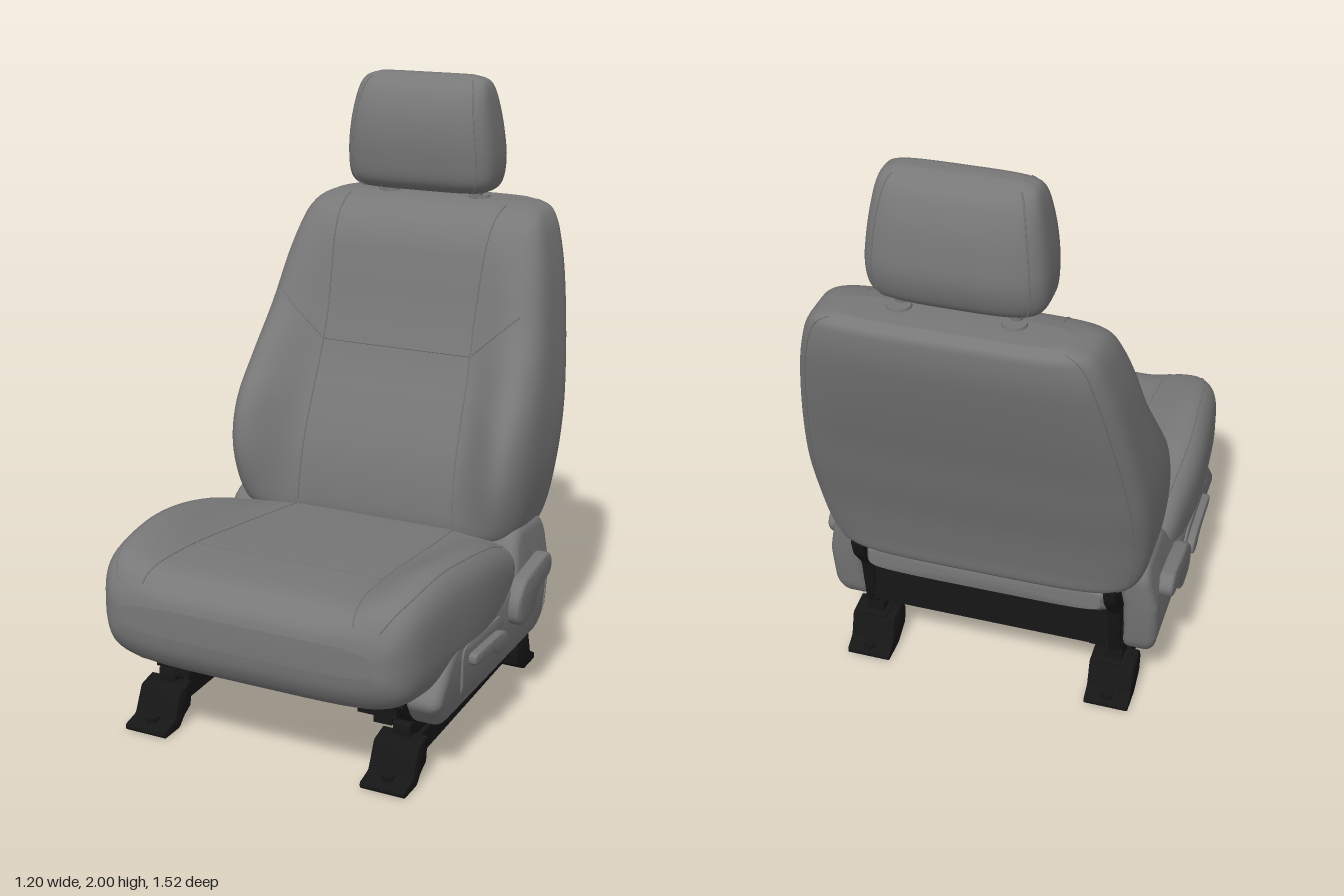
import * as THREE from 'three';
import { toCreasedNormals } from 'three/addons/utils/BufferGeometryUtils.js';

const mat = (name, color) => {
  const m = new THREE.MeshStandardMaterial({ color });
  m.name = name;
  return m;
};

// Body section with rows [position, half width, centre, bolster, rear]:
// rounded rectangles whose front face rises from the centre to the bolsters.
function makeBody(rows, n, place) {
  const last = rows.length - 1;
  const row = v => {
    const i = Math.min(Math.floor(v), last - 1), t = v - i;
    const r = k => rows[Math.max(0, Math.min(last, k))];
    return rows[0].map((_, k) => {
      const [a, b, c, d] = [r(i - 1)[k], r(i)[k], r(i + 1)[k], r(i + 2)[k]];
      return b + 0.5 * t * (c - a + t * (2 * a - 5 * b + 4 * c - d + t * (3 * (b - c) + d - a)));
    });
  };
  const at = (x, h, r) => {
    const [s, w, c, b, rear] = r;
    const front = c + (b - c) * THREE.MathUtils.smoothstep(Math.abs(x) / w, 0.5, 0.95);
    const mid = (c + rear) / 2;
    return place(x, s, h > 0 ? mid + h * (front - mid) : mid + h * (mid - rear));
  };
  const pow = q => Math.sign(q) * Math.pow(Math.abs(q), 2 / n);
  const around = (a, v) => {
    const r = row(v);
    return at(r[1] * pow(Math.cos(a)), pow(Math.sin(a)), r);
  };
  const onFront = (x, v) => {
    const r = row(v);
    return at(x, Math.pow(Math.max(0, 1 - Math.pow(Math.abs(x) / r[1], n)), 1 / n), r);
  };
  const find = s => {
    let lo = 0, hi = last;
    const up = rows[last][0] > rows[0][0];
    for (let k = 0; k < 30; k++) {
      const m = (lo + hi) / 2;
      if ((row(m)[0] < s) === up) lo = m; else hi = m;
    }
    return lo;
  };
  const geometry = () => {
    const U = 144, V = last * 5, pos = [], idx = [];
    for (let j = 0; j <= V; j++)
      for (let i = 0; i < U; i++) pos.push(...around(i / U * Math.PI * 2, j / V * last).toArray());
    for (const v of [0, last]) pos.push(...at(0, 0, row(v)).toArray());
    const end = U * (V + 1);
    for (let i = 0; i < U; i++) {
      const k = (i + 1) % U;
      for (let j = 0; j < V; j++) {
        const a = j * U + i, b = j * U + k;
        idx.push(a, a + U, b, b, a + U, b + U);
      }
      idx.push(end, i, k, end + 1, V * U + k, V * U + i);
    }
    // Turn the faces outward if the sweep runs the other way
    const p = i => new THREE.Vector3().fromArray(pos, i * 3);
    let volume = 0;
    for (let i = 0; i < idx.length; i += 3) volume += p(idx[i]).dot(p(idx[i + 1]).cross(p(idx[i + 2])));
    if (volume < 0) idx.reverse();
    const g = new THREE.BufferGeometry();
    g.setAttribute('position', new THREE.Float32BufferAttribute(pos, 3));
    g.setIndex(idx);
    g.computeVertexNormals();
    return g;
  };
  return { around, onFront, find, geometry, last };
}

// Polygon in (z, y) with rounded corners
function rounded(pts, radius) {
  const s = new THREE.Shape(), P = pts.map(p => new THREE.Vector2(...p));
  P.forEach((p, i) => {
    const toward = q => p.clone().add(q.clone().sub(p).setLength(Math.min(radius, q.distanceTo(p) * 0.45)));
    const a = toward(P[(i + P.length - 1) % P.length]), b = toward(P[(i + 1) % P.length]);
    if (i) s.lineTo(a.x, a.y); else s.moveTo(a.x, a.y);
    s.quadraticCurveTo(p.x, p.y, b.x, b.y);
  });
  s.closePath();
  return s;
}

export function createModel() {
  const model = new THREE.Group();
  model.name = 'carSeat';
  const fabric = mat('greyFabric', 0x787878), plastic = mat('greyPlastic', 0x777777);
  const metal = mat('blackMetal', 0x161616);

  const add = (name, geo, material) => {
    const m = new THREE.Mesh(geo, material);
    m.name = name;
    model.add(m);
  };
  const seam = (name, f, count = 40) => {
    const pts = Array.from({ length: count + 1 }, (_, i) => f(i / count));
    add(name, new THREE.TubeGeometry(new THREE.CatmullRomCurve3(pts), count * 2, 0.0025, 5), fabric);
  };
  // Extrude a (z, y) shape from x0 to x1 on both sides; lean draws the upper and lower ends inward
  const pair = (name, shape, x0, x1, bevel, material, lean = 0) => {
    for (const side of [-1, 1]) {
      const g = new THREE.ExtrudeGeometry(shape, {
        depth: x1 - x0 - 2 * bevel, bevelEnabled: bevel > 0, bevelSize: bevel,
        bevelThickness: bevel, bevelOffset: -bevel, bevelSegments: 4, curveSegments: 12,
      });
      g.rotateY(-Math.PI / 2);
      g.translate(side > 0 ? x1 - bevel : -x0 - bevel, 0, 0);
      const p = g.attributes.position;
      for (let i = 0; i < p.count; i++) {
        const y = p.getY(i);
        p.setX(i, p.getX(i) * (1 - lean * Math.max(0, y - 0.4, 0.27 - y)));
      }
      add((side > 0 ? 'left' : 'right') + name, toCreasedNormals(g, 0.6), material);
    }
  };
  const box = (name, x, y, z, w, h, d, material = metal) =>
    add(name, new THREE.BoxGeometry(w, h, d).translate(x, y, z), material);
  const lerp = THREE.MathUtils.lerp;

  // Backrest
  const upright = (x, s, t) => new THREE.Vector3(x, s, t);
  const back = makeBody([
    [0.50, 0.42, -0.20, -0.20, -0.43], [0.52, 0.49, -0.155, -0.09, -0.475],
    [0.60, 0.53, -0.15, -0.04, -0.495], [0.75, 0.55, -0.175, 0.0, -0.535],
    [0.90, 0.55, -0.23, -0.03, -0.585], [1.05, 0.535, -0.295, -0.15, -0.63],
    [1.20, 0.512, -0.345, -0.27, -0.68], [1.35, 0.485, -0.385, -0.345, -0.725],
    [1.45, 0.46, -0.415, -0.40, -0.75], [1.52, 0.435, -0.46, -0.45, -0.757],
    [1.56, 0.40, -0.52, -0.52, -0.752], [1.58, 0.33, -0.60, -0.60, -0.72],
  ], 4.6, upright);
  add('backrest', back.geometry(), fabric);
  const b0 = back.find(0.56), b1 = back.find(1.57), bMid = back.find(1.1);
  for (const s of [-1, 1]) {
    seam('backPanelSeam', t => back.onFront(s * (0.272 + 0.02 * Math.abs(2 * t - 1)), lerp(b0, b1, t)));
    seam('backSideSeam', t => back.around(Math.PI / 2 - s * (Math.PI / 2 + 0.6), lerp(b0, b1, t)));
    seam('bolsterSeam', t => back.onFront(s * lerp(0.275, 0.44, t), back.find(lerp(1.1, 1.25, t))), 16);
  }
  seam('backCrossSeam', t => back.onFront(lerp(-0.272, 0.272, t), bMid), 16);

  // Seat cushion, swept from front to rear
  const cushion = makeBody([
    [0.76, 0.42, 0.50, 0.50, 0.41], [0.745, 0.475, 0.54, 0.56, 0.345],
    [0.70, 0.52, 0.58, 0.635, 0.285], [0.62, 0.548, 0.60, 0.675, 0.265],
    [0.45, 0.565, 0.60, 0.70, 0.26], [0.25, 0.575, 0.585, 0.68, 0.26],
    [0.05, 0.562, 0.565, 0.63, 0.26], [-0.10, 0.54, 0.55, 0.565, 0.26],
    [-0.25, 0.48, 0.53, 0.53, 0.29], [-0.37, 0.43, 0.51, 0.51, 0.36],
    [-0.44, 0.39, 0.50, 0.50, 0.42],
  ], 5, (x, s, t) => new THREE.Vector3(x * (1 - 0.4 * Math.max(0, 0.42 - t)), t, s));
  add('cushion', cushion.geometry(), fabric);
  const c0 = cushion.find(0.735), c1 = cushion.find(-0.15), cMid = cushion.find(0.455);
  for (const s of [-1, 1]) {
    seam('cushionPanelSeam', t => cushion.onFront(s * lerp(0.36, 0.295, t), lerp(c0, c1, t)));
    seam('cushionSideSeam', t => cushion.around(Math.PI / 2 - s * 0.9, lerp(c0, c1, t)));
  }
  seam('cushionCrossSeam', t => cushion.onFront(lerp(-0.33, 0.33, t), cMid), 16);

  // Headrest with posts and sleeves
  const head = makeBody([
    [1.605, 0.18, -0.53, -0.53, -0.62], [1.615, 0.235, -0.475, -0.475, -0.655],
    [1.65, 0.262, -0.44, -0.44, -0.682], [1.72, 0.268, -0.425, -0.425, -0.70],
    [1.80, 0.262, -0.42, -0.42, -0.695], [1.88, 0.25, -0.43, -0.43, -0.68],
    [1.95, 0.235, -0.46, -0.46, -0.65], [1.985, 0.215, -0.50, -0.50, -0.615],
    [2.0, 0.17, -0.535, -0.535, -0.575],
  ], 3.8, upright);
  add('headrest', head.geometry(), fabric);
  for (const s of [-1, 1]) {
    for (const a of [0.75, -0.75])
      seam('headrestSeam', t => head.around(Math.PI / 2 - s * (Math.PI / 2 - a), lerp(1, head.last - 1, t)));
    add('headrestPost', new THREE.CylinderGeometry(0.018, 0.018, 0.17, 20).translate(s * 0.17, 1.57, -0.605), plastic);
    add('postSleeve', new THREE.CylinderGeometry(0.036, 0.042, 0.03, 24).translate(s * 0.17, 1.573, -0.625), plastic);
  }

  // Side shields, raised pads and levers
  pair('Shield', rounded([
    [0.59, 0.275], [0.46, 0.415], [0.38, 0.43], [0.05, 0.435], [-0.07, 0.46], [-0.11, 0.545], [-0.16, 0.59],
    [-0.35, 0.58], [-0.385, 0.53], [-0.37, 0.38], [-0.345, 0.22], [-0.30, 0.17], [0.50, 0.17],
  ], 0.04), 0.45, 0.563, 0.03, plastic, 0.35);
  pair('LeverPad', rounded([[0.40, 0.40], [0.07, 0.385], [0.04, 0.22], [0.40, 0.22]], 0.05), 0.555, 0.568, 0.004, plastic, 0.35);
  pair('HeightLever', rounded([[0.355, 0.36], [0.22, 0.355], [0.13, 0.35], [0.08, 0.33], [0.085, 0.285],
    [0.13, 0.272], [0.21, 0.31], [0.35, 0.318]], 0.025), 0.56, 0.592, 0.01, plastic);
  pair('ReclineLever', rounded([[0.01, 0.40], [-0.05, 0.455], [-0.27, 0.482], [-0.30, 0.44], [-0.28, 0.395],
    [-0.17, 0.375], [-0.13, 0.305], [-0.03, 0.30], [0.01, 0.335]], 0.03), 0.545, 0.598, 0.014, plastic);

  // Floor rails, feet and recliner brackets
  pair('LowerRail', rounded([[0.53, 0.05], [0.53, 0.12], [-0.36, 0.14], [-0.36, 0.075]], 0.005), 0.375, 0.465, 0, metal);
  pair('UpperRail', rounded([[0.52, 0.11], [0.52, 0.17], [-0.34, 0.18], [-0.34, 0.13]], 0.005), 0.39, 0.45, 0, metal);
  pair('FrontFoot', rounded([[0.66, 0], [0.66, 0.022], [0.60, 0.035], [0.56, 0.12],
    [0.49, 0.135], [0.50, 0.05], [0.54, 0.03], [0.57, 0]], 0.01), 0.345, 0.495, 0.004, metal);
  pair('RearFoot', rounded([[-0.25, 0.10], [-0.27, 0.14], [-0.36, 0.13], [-0.385, 0.045],
    [-0.43, 0.02], [-0.43, 0], [-0.33, 0], [-0.26, 0.04]], 0.01), 0.345, 0.495, 0.004, metal);
  pair('SeatFrame', rounded([[0.58, 0.25], [0.56, 0.28], [-0.34, 0.30], [-0.33, 0.17], [0.50, 0.17]], 0.01), 0.38, 0.45, 0, metal);
  pair('ReclinerBracket', rounded([[-0.27, 0.18], [-0.29, 0.5], [-0.40, 0.55], [-0.46, 0.53],
    [-0.44, 0.46], [-0.38, 0.38], [-0.35, 0.18]], 0.02), 0.405, 0.445, 0.004, metal);
  for (const s of [-1, 1]) {
    for (const z of [0.615, -0.4])
      add('footBolt', new THREE.CylinderGeometry(0.022, 0.022, 0.02, 6).translate(s * 0.42, 0.034, z), metal);
    for (const z of [0.5, 0.3, 0.1, -0.1, -0.28])
      box('railClip', s * 0.36, 0.185, z, 0.06, 0.05, 0.06);
    box('frontLatch', s * 0.36, 0.235, 0.53, 0.13, 0.06, 0.08);
  }

  // Underside pan, cross plates, rear panel and motor
  box('seatPan', 0, 0.235, 0.13, 0.76, 0.05, 0.74, fabric);
  box('frontCrossPlate', 0, 0.235, 0.51, 0.78, 0.055, 0.02);
  box('rearPanel', 0, 0.30, -0.35, 0.82, 0.18, 0.02);
  box('rearCrossPlate', 0, 0.24, -0.29, 0.8, 0.05, 0.12);
  box('adjusterMotor', 0.31, 0.215, -0.12, 0.08, 0.04, 0.26);
  return model;
}
